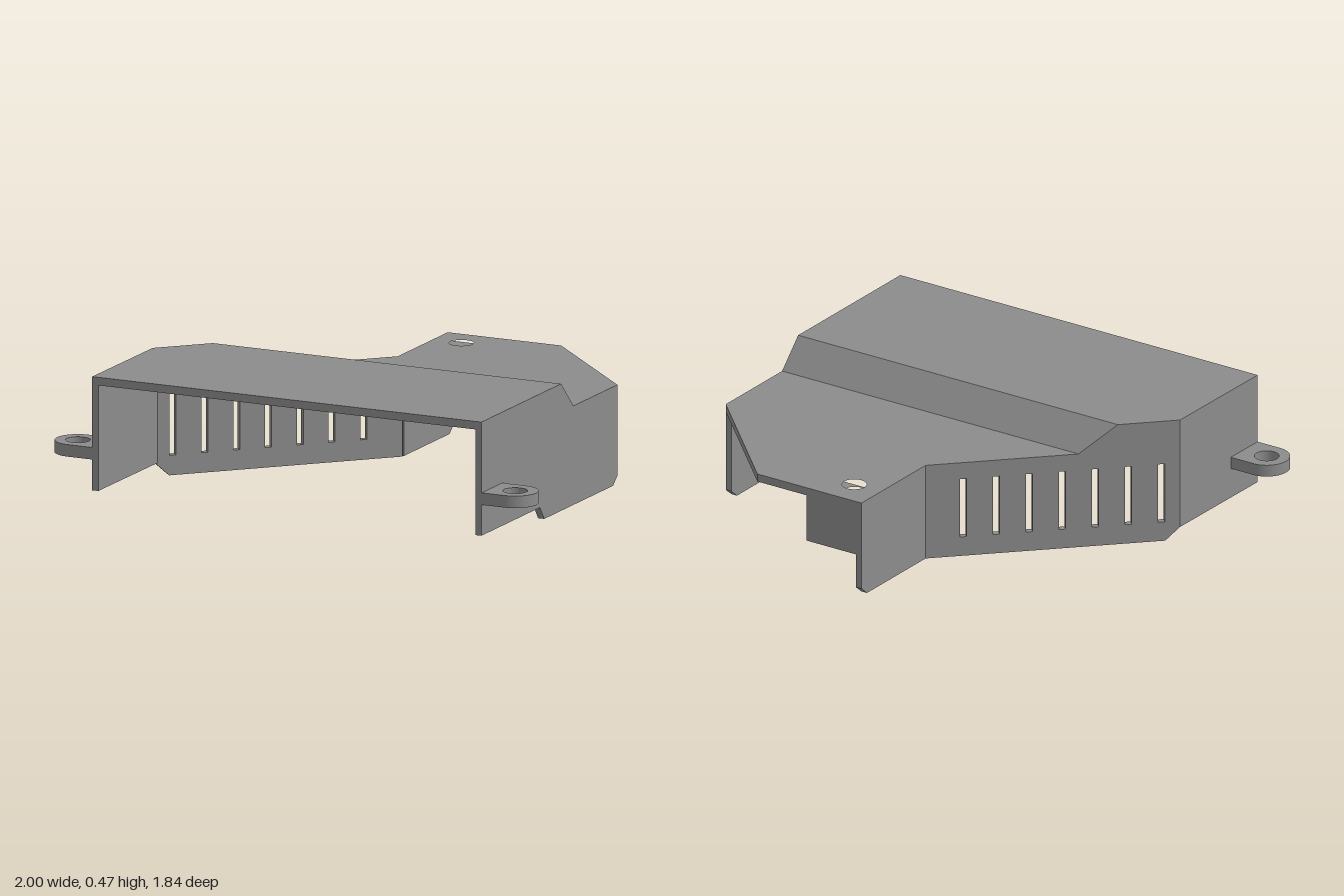
import * as THREE from 'three';
import { toCreasedNormals } from 'three/addons/utils/BufferGeometryUtils.js';

const HIGH = 0.475, LOW = 0.37, ROOF = 0.03, WALL = 0.025;
const STEP_A = 0.31, STEP_B = 0.455; // x - z where the roof slope starts and ends
const A = [-0.905, -0.29], B = [-0.555, -0.635], C = [0.385, -0.635], D = [0.675, -0.925];
const E = [1, -0.6], F = [1, 0.035], G = [0.21, 0.825];

const shapeOf = (pts) => new THREE.Shape(pts.map(([x, y]) => new THREE.Vector2(x, y)));
const circle = (x, y, r) => new THREE.Path().absarc(x, y, r, 0, Math.PI * 2, true);

// Roof top height at a plan position
function roofTop(x, z) {
  const k = THREE.MathUtils.clamp((x - z - STEP_A) / (STEP_B - STEP_A), 0, 1);
  return HIGH + (LOW - HIGH) * k;
}

export function createModel() {
  const model = new THREE.Group();
  const grey = new THREE.MeshStandardMaterial({ color: 0x8c8c8c });
  grey.name = 'grey';

  function add(name, geometry) {
    const mesh = new THREE.Mesh(toCreasedNormals(geometry, 0.6), grey);
    mesh.name = name;
    model.add(mesh);
    return mesh;
  }

  // Flat plan outline (x, z) extruded upwards from y
  function slab(pts, y, depth, hole) {
    const shape = shapeOf(pts.map(([x, z]) => [x, -z]));
    if (hole) shape.holes.push(circle(hole[0], -hole[1], hole[2]));
    return new THREE.ExtrudeGeometry(shape, { depth, bevelEnabled: false, curveSegments: 24 })
      .rotateX(-Math.PI / 2).translate(0, y, 0);
  }

  // Vertical panel from p to q, thickened inwards; profile points are [world x, y]
  function wall(name, p, q, pts, slots = []) {
    const dir = new THREE.Vector3(q[0] - p[0], 0, q[1] - p[1]);
    const scale = dir.length() / (q[0] - p[0]);
    dir.normalize();
    const along = ([x, y]) => [(x - p[0]) * scale, y];
    const shape = shapeOf(pts.map(along));
    slots.forEach((s) => shape.holes.push(shapeOf(s.map(along))));
    const up = new THREE.Vector3(0, 1, 0);
    const frame = new THREE.Matrix4()
      .makeBasis(dir, up, dir.clone().cross(up)).setPosition(p[0], 0, p[1]);
    add(name, new THREE.ExtrudeGeometry(shape, { depth: WALL, bevelEnabled: false }).applyMatrix4(frame));
  }

  // Stepped roof: high deck, slope, low deck with mounting hole
  const hole = [0.67, -0.755, 0.045];
  const h1 = [-0.325, -0.635], h2 = [0.6725, 0.3625];
  const l1 = [-0.18, -0.635], l2 = [0.745, 0.29];
  const sections = [
    ['upperRoof', [A, B, h1, h2, G]],
    ['roofSlope', [h1, l1, l2, h2]],
    ['lowerRoof', [l1, C, D, E, F, l2], hole],
  ];
  for (const [name, pts, opening] of sections) {
    const g = slab(pts, -ROOF, ROOF, opening);
    const pos = g.attributes.position;
    for (let i = 0; i < pos.count; i++) {
      pos.setY(i, pos.getY(i) + roofTop(pos.getX(i), pos.getZ(i)));
    }
    g.computeVertexNormals();
    add(name, g);
  }

  // Side walls with chamfered lower corners
  const hi = HIGH - ROOF, lo = LOW - ROOF;
  wall('leftEndWall', A, B, [[A[0], 0.05], [B[0], 0.05], [B[0], hi], [A[0], hi]]);

  const slots = [];
  for (let i = 0; i < 7; i++) {
    const x = -0.486 + i * 0.122, w = 0.0125;
    slots.push([[x - w, 0.075], [x - w, 0.305], [x + w, 0.305], [x + w, 0.075]]);
  }
  wall('ventedBackWall', B, C, [
    [B[0], 0.05], [-0.5, 0], [C[0] + 0.01, 0], [C[0] + 0.01, lo],
    [l1[0], lo], [h1[0], hi], [B[0], hi],
  ], slots);

  wall('cornerWall', C, D, [[C[0], 0], [0.65, 0], [D[0], 0.03], [D[0], lo], [C[0], lo]]);

  wall('frontEndWall', F, G, [
    [F[0], 0.03], [0.975, 0], [0.575, 0], [0.55, 0.05], [G[0], 0.05],
    [G[0], hi], [h2[0], hi], [l2[0], lo], [F[0], lo],
  ]);

  // Mounting block under the corner hole
  const a = 0.172, b = 0.126;
  add('mountingBlock', slab([
    D, [D[0] + a, D[1] + a], [D[0] + a - b, D[1] + a + b], [D[0] - b, D[1] + b],
  ], 0.16, lo - 0.16, hole));

  // Rounded screw lugs on the two end walls
  function lug(name, x, z, angle) {
    const r = 0.085, reach = 0.105;
    const shape = new THREE.Shape();
    shape.moveTo(-reach, -r);
    shape.lineTo(0, -r);
    shape.absarc(0, 0, r, -Math.PI / 2, Math.PI / 2, false);
    shape.lineTo(-reach, r);
    shape.holes.push(circle(0, 0, 0.045));
    const g = new THREE.ExtrudeGeometry(shape, { depth: 0.045, bevelEnabled: false, curveSegments: 24 });
    const mesh = add(name, g.rotateX(-Math.PI / 2));
    mesh.rotation.y = angle;
    mesh.position.set(x, 0.165, z);
  }
  lug('leftLug', -0.915, -0.42, Math.PI * 0.75);
  lug('frontLug', 0.338, 0.83, -Math.PI / 4);

  return model;
}
